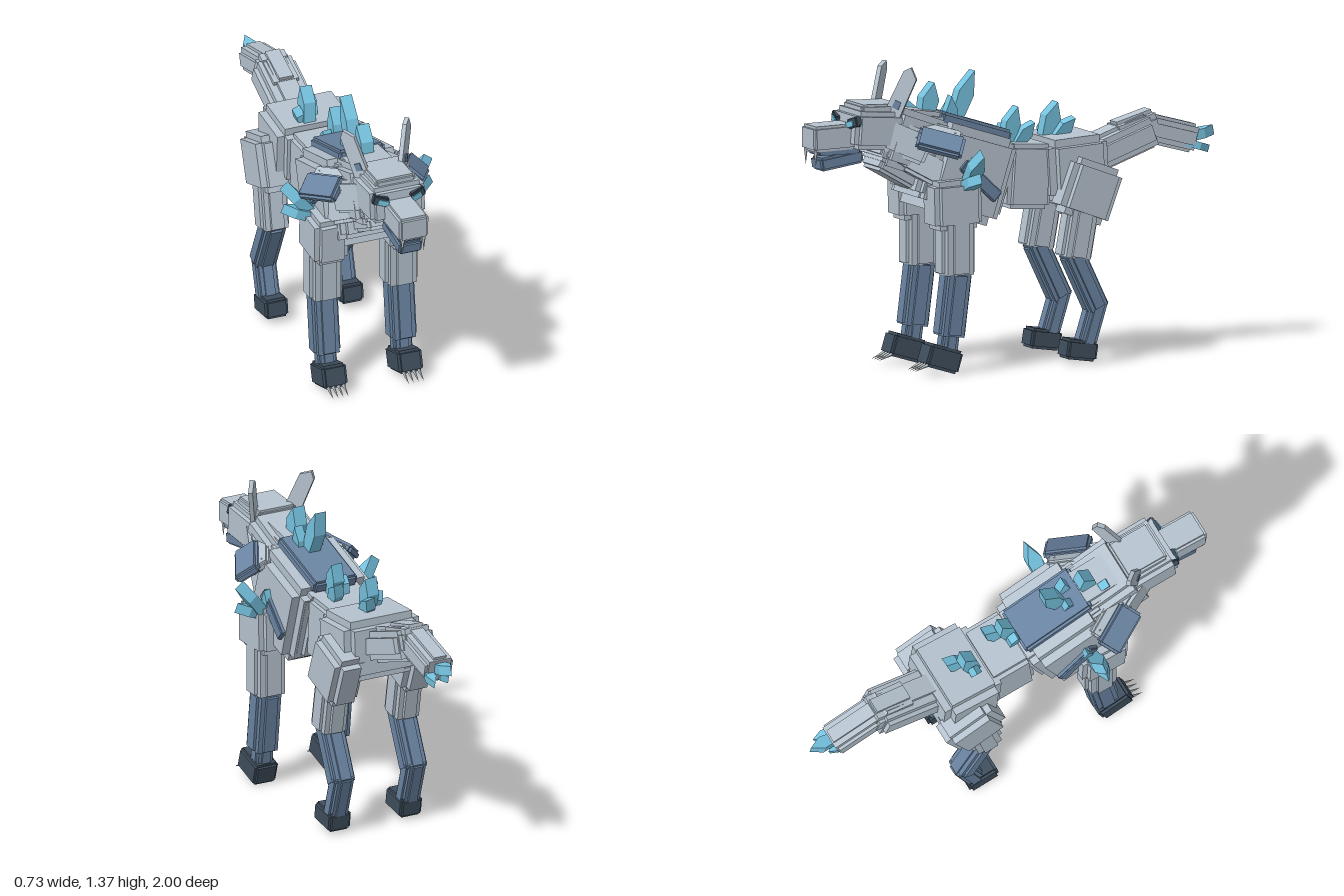
import * as THREE from 'three';
import { mergeGeometries } from 'three/addons/utils/BufferGeometryUtils.js';

const mat = (name, color) => {
  const m = new THREE.MeshStandardMaterial({ color });
  m.name = name;
  return m;
};

export function createModel() {
  const fur = mat('pale grey fur', 0xb6c3cf);
  const armour = mat('slate blue', 0x6a84a2);
  const paw = mat('dark slate', 0x3f4e5d);
  const ice = mat('ice crystal', 0x76c3e0);
  const claw = mat('claw grey', 0xc3c9ce);
  const wolf = new THREE.Group();
  wolf.name = 'crystalWolf';

  const add = (name, geo, m) => {
    const mesh = new THREE.Mesh(geo, m);
    mesh.name = name;
    wolf.add(mesh);
    return mesh;
  };
  const boxes = sizes => mergeGeometries(sizes.map(s => new THREE.BoxGeometry(...s)));

  // Block with stepped edges: three crossing boxes, each inset along two axes
  const block = (name, m, [w, h, d], [x, y, z], rot = [0, 0, 0], step = 0.02) => {
    const t = step * 2;
    const geo = step
      ? boxes([[w, h - t, d - t], [w - t, h, d - t], [w - t, h - t, d]])
      : new THREE.BoxGeometry(w, h, d);
    const mesh = add(name, geo, m);
    mesh.position.set(x, y, z);
    mesh.rotation.set(...rot, 'YXZ');
  };

  // Same block on both sides
  const pair = (name, m, size, [x, y, z], [rx, ry, rz] = [0, 0, 0], step) => {
    for (const s of [1, -1])
      block((s > 0 ? 'left ' : 'right ') + name, m, size, [x * s, y, z], [rx, ry * s, rz * s], step);
  };

  // Grooved bar with a stepped cross-section between two (y, z) points
  const bar = (name, m, x, [y0, z0], [y1, z1], w, d) => {
    const len = Math.hypot(y1 - y0, z1 - z0);
    const mesh = add(name, boxes([
      [w, len * 0.94, d * 0.45], [w * 0.45, len * 0.94, d], [w * 0.8, len, d * 0.8],
    ]), m);
    mesh.position.set(x, (y0 + y1) / 2, (z0 + z1) / 2);
    mesh.rotation.x = Math.atan2(z0 - z1, y0 - y1);
  };
  const limb = (name, m, x, ...rest) => {
    bar('left ' + name, m, x, ...rest);
    bar('right ' + name, m, -x, ...rest);
  };

  // Chisel-tipped slab from base to tip, pointed in the plane holding the across axis
  const crystal = (name, base, tip, r, across) => {
    const a = new THREE.Vector3(...base);
    const dir = new THREE.Vector3(...tip).sub(a);
    const len = dir.length();
    dir.normalize();
    const shape = new THREE.Shape([[-r * 0.7, 0], [r * 0.7, 0], [r, len * 0.6], [0, len], [-r, len * 0.6]]
      .map(p => new THREE.Vector2(...p)));
    const depth = r * 1.5;
    const geo = new THREE.ExtrudeGeometry(shape, { depth, bevelEnabled: false }).translate(0, 0, -depth / 2);
    const side = across.clone().addScaledVector(dir, -across.dot(dir)).normalize();
    const mesh = add(name, geo, ice);
    mesh.position.copy(a);
    mesh.quaternion.setFromRotationMatrix(
      new THREE.Matrix4().makeBasis(side, dir, side.clone().cross(dir)));
  };

  // Slim four-sided spike for fangs and claws
  const spike = (name, base, tip, r) => {
    const a = new THREE.Vector3(...base), b = new THREE.Vector3(...tip);
    const len = a.distanceTo(b);
    const geo = new THREE.ConeGeometry(r, len, 4).translate(0, len / 2, 0);
    const mesh = add(name, geo, claw);
    mesh.position.copy(a);
    mesh.quaternion.setFromUnitVectors(new THREE.Vector3(0, 1, 0), b.sub(a).normalize());
  };

  // Torso
  block('chest', fur, [0.4, 0.4, 0.38], [0, 0.88, 0.28], [-0.31, 0, 0], 0.04);
  block('chest core', fur, [0.3, 0.34, 0.44], [0, 0.89, 0.28], [-0.31, 0, 0], 0.025);
  block('waist', fur, [0.28, 0.29, 0.21], [0, 0.845, -0.035], [-0.07, 0, 0], 0.02);
  block('hips', fur, [0.38, 0.28, 0.29], [0, 0.87, -0.26], [0.06, 0, 0], 0.035);
  block('back plate', armour, [0.22, 0.06, 0.36], [0, 1.078, 0.22], [-0.31, 0, 0], 0.012);
  pair('flank strap', armour, [0.03, 0.06, 0.23], [0.205, 0.855, 0.25], [-0.75, 0, 0], 0.006);

  // Neck, ruff and mane
  block('neck', fur, [0.28, 0.27, 0.32], [0, 1.02, 0.5], [-0.35, 0, 0], 0.03);
  block('mane', fur, [0.2, 0.1, 0.24], [0, 1.115, 0.46], [-0.15, 0, 0], 0.02);
  block('upper ruff', fur, [0.24, 0.12, 0.24], [0, 0.965, 0.57], [-0.5, 0, 0], 0.025);
  block('lower ruff', fur, [0.19, 0.07, 0.26], [0, 0.885, 0.57], [-0.52, 0, 0], 0.015);
  pair('cheek ruff', fur, [0.06, 0.15, 0.2], [0.13, 1.04, 0.57], [-0.4, -0.4, 0.1], 0.015);
  pair('chest ruff', fur, [0.07, 0.13, 0.22], [0.13, 0.92, 0.47], [-0.5, -0.35, 0.25], 0.015);

  // Shoulder pads
  pair('shoulder tuft', fur, [0.12, 0.04, 0.2], [0.175, 1.06, 0.44], [-0.25, -0.5, -0.6], 0.01);
  pair('shoulder pad', armour, [0.125, 0.045, 0.21], [0.222, 1.04, 0.455], [-0.25, -0.5, -0.65], 0.012);

  // Head
  block('head', fur, [0.26, 0.17, 0.24], [0, 1.095, 0.7], [-0.08, 0, 0], 0.022);
  block('crown', fur, [0.19, 0.05, 0.2], [0, 1.185, 0.68], [-0.04, 0, 0], 0.01);
  block('snout', fur, [0.14, 0.115, 0.22], [0, 1.07, 0.89], [0.02, 0, 0], 0.012);
  block('upper lip', armour, [0.115, 0.03, 0.2], [0, 1.008, 0.87], [0, 0, 0], 0.005);
  block('lower jaw', armour, [0.11, 0.06, 0.21], [0, 0.965, 0.855], [0.14, 0, 0], 0.01);
  pair('brow', paw, [0.07, 0.045, 0.06], [0.085, 1.137, 0.8], [0, 0.2, 0.3], 0.005);
  pair('eye', ice, [0.05, 0.026, 0.008], [0.08, 1.13, 0.833], [0, 0.2, 0.3], 0);
  for (const s of [1, -1]) {
    spike('fang', [0.05 * s, 1.02, 0.985], [0.05 * s, 0.945, 0.985], 0.01);

    // Ear blade
    const shape = new THREE.Shape([[-0.04, 0], [0.035, 0], [0.034, 0.19], [-0.01, 0.23], [-0.034, 0.2]]
      .map(p => new THREE.Vector2(...p)));
    const ear = add('ear', new THREE.ExtrudeGeometry(shape, { depth: 0.02, bevelEnabled: false }), fur);
    ear.position.set(0.085 * s, 1.16, 0.62);
    ear.rotation.set(-0.33, 0.8 * s, -0.26 * s, 'ZXY');
    const inner = new THREE.Mesh(new THREE.BoxGeometry(0.03, 0.035, 0.006), armour);
    inner.name = 'inner ear';
    inner.position.set(0, 0.05, 0.022);
    ear.add(inner);
  }

  // Front legs
  pair('shoulder', fur, [0.16, 0.22, 0.23], [0.18, 0.76, 0.375], [0.03, 0, 0], 0.025);
  limb('upper foreleg', fur, 0.18, [0.7, 0.365], [0.445, 0.365], 0.155, 0.16);
  limb('lower foreleg', armour, 0.182, [0.45, 0.36], [0.17, 0.395], 0.125, 0.13);
  limb('fore ankle', armour, 0.18, [0.2, 0.39], [0.09, 0.405], 0.09, 0.085);
  pair('front paw', paw, [0.115, 0.105, 0.165], [0.18, 0.074, 0.437], [-0.3, 0, 0], 0.012);
  for (const s of [1, -1])
    for (const i of [-1.5, -0.5, 0.5, 1.5]) {
      const x = 0.18 * s + i * 0.024;
      spike('claw', [x, 0.055, 0.505], [x, 0.025, 0.58], 0.01);
    }

  // Hind legs
  pair('thigh', fur, [0.15, 0.26, 0.25], [0.185, 0.775, -0.285], [-0.36, 0, 0], 0.03);
  pair('thigh plate', fur, [0.07, 0.19, 0.18], [0.225, 0.775, -0.285], [-0.36, 0, 0], 0.012);
  limb('upper hind leg', fur, 0.185, [0.7, -0.255], [0.48, -0.215], 0.135, 0.15);
  limb('hock', armour, 0.182, [0.5, -0.21], [0.25, -0.33], 0.115, 0.105);
  limb('lower hind leg', armour, 0.182, [0.29, -0.338], [0.08, -0.272], 0.1, 0.09);
  pair('hind paw', paw, [0.11, 0.09, 0.15], [0.18, 0.067, -0.243], [-0.15, 0, 0], 0.012);

  // Tail
  bar('tail base', fur, 0, [0.89, -0.36], [1.0, -0.67], 0.2, 0.16);
  bar('tail middle', fur, 0, [0.97, -0.52], [1.02, -0.7], 0.15, 0.15);
  bar('tail end', fur, 0, [1.02, -0.62], [0.945, -0.89], 0.14, 0.13);

  // Ice crystals along the back: base, tip, half width
  const xAxis = new THREE.Vector3(1, 0, 0), zAxis = new THREE.Vector3(0, 0, 1);
  [
    [[0, 1.1, 0.43], [0, 1.28, 0.39], 0.04],
    [[-0.04, 1.1, 0.46], [-0.06, 1.2, 0.49], 0.026],
    [[0, 1.08, 0.29], [0, 1.32, 0.19], 0.038],
    [[0.03, 1.06, 0.31], [0.04, 1.22, 0.32], 0.028],
    [[-0.03, 1.06, 0.31], [-0.045, 1.18, 0.29], 0.026],
    [[0.02, 0.97, 0.04], [0.03, 1.15, -0.01], 0.036],
    [[0.04, 0.97, 0], [0.06, 1.08, -0.08], 0.03],
    [[-0.02, 0.98, 0.02], [-0.03, 1.07, 0.04], 0.026],
    [[-0.03, 0.98, -0.18], [-0.02, 1.15, -0.23], 0.038],
    [[0, 0.98, -0.21], [0.02, 1.08, -0.3], 0.03],
    [[-0.05, 0.98, -0.19], [-0.08, 1.07, -0.2], 0.026],
  ].forEach(([base, tip, r]) => crystal('back crystal', base, tip, r, zAxis));

  // Tail tip crystals
  [
    [[0, 0.95, -0.86], [0, 0.975, -1], 0.03],
    [[0.04, 0.935, -0.84], [0.055, 0.9, -0.95], 0.022],
    [[-0.02, 0.92, -0.84], [-0.03, 0.9, -0.92], 0.022],
  ].forEach(([base, tip, r]) => crystal('tail crystal', base, tip, r, xAxis));

  // Shoulder crystals
  for (const s of [1, -1]) {
    crystal('shoulder crystal', [0.21 * s, 0.83, 0.32], [0.345 * s, 1.0, 0.31], 0.034, zAxis);
    crystal('shoulder crystal', [0.21 * s, 0.83, 0.34], [0.355 * s, 0.89, 0.32], 0.03, zAxis);
    crystal('shoulder crystal', [0.2 * s, 0.84, 0.31], [0.215 * s, 0.96, 0.29], 0.022, zAxis);
  }

  return wolf;
}
